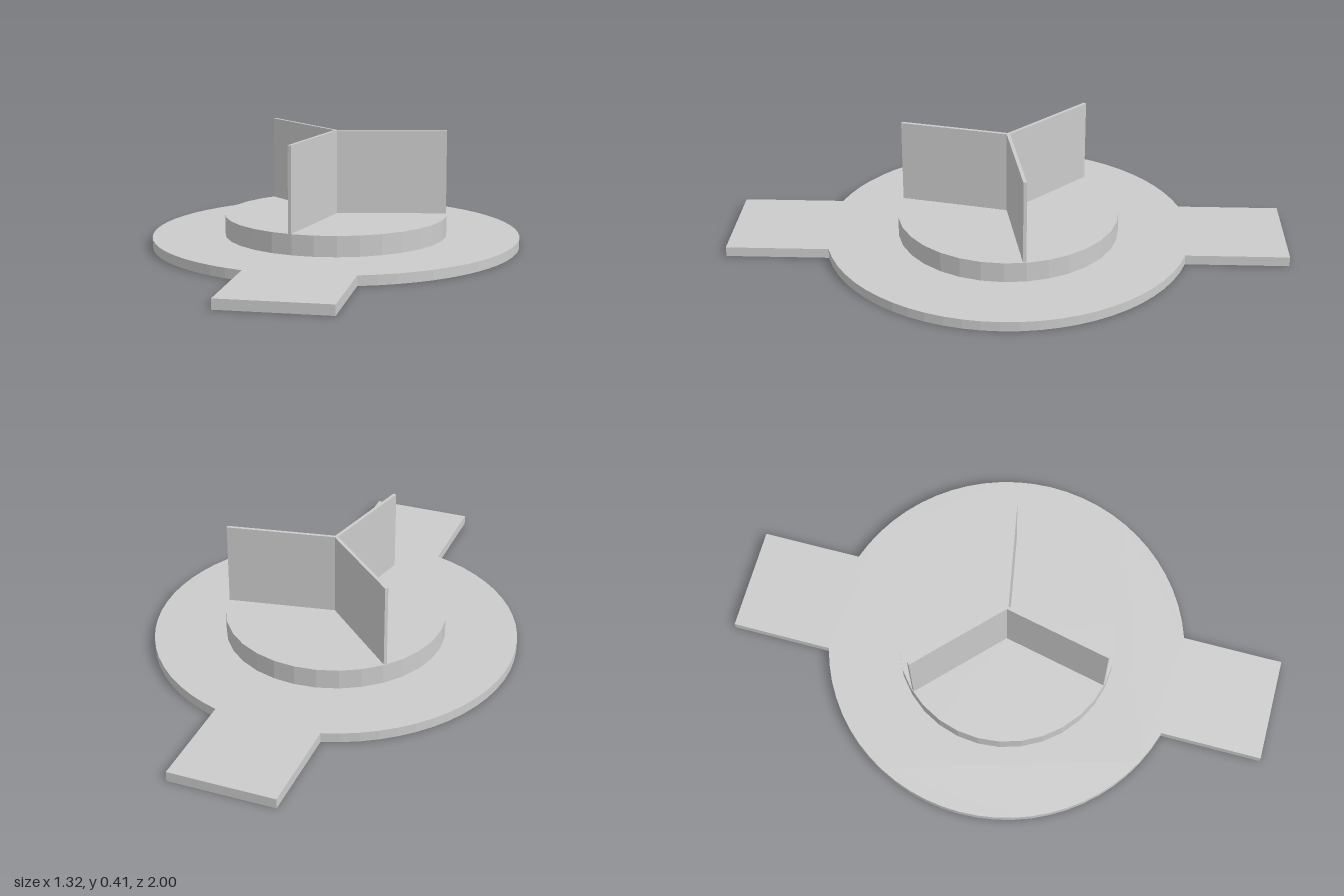
import * as THREE from 'three';

export function createModel() {
  const group = new THREE.Group();
  const material = new THREE.MeshStandardMaterial({ color: 0xcccccc, flatShading: true });
  const add = (name, geometry) => {
    const mesh = new THREE.Mesh(geometry, material);
    mesh.name = name;
    group.add(mesh);
    return mesh;
  };

  const plateHeight = 0.035, hubTop = 0.108, bladeTop = 0.41;
  const radius = 0.66, tabHalf = 0.19;

  // Base plate: a disc with a straight tab at the front and back
  const a = Math.acos(tabHalf / radius);
  const outline = new THREE.Shape();
  outline.moveTo(-tabHalf, -1);
  outline.lineTo(tabHalf, -1);
  outline.absarc(0, 0, radius, -a, a, false);
  outline.lineTo(tabHalf, 1);
  outline.lineTo(-tabHalf, 1);
  outline.absarc(0, 0, radius, Math.PI - a, Math.PI + a, false);
  outline.closePath();
  const plate = new THREE.ExtrudeGeometry(outline, {
    depth: plateHeight, bevelEnabled: false, curveSegments: 13,
  });
  plate.rotateX(-Math.PI / 2);
  add('basePlate', plate);

  // Raised round hub
  const hub = new THREE.CylinderGeometry(0.4, 0.4, hubTop - plateHeight, 32);
  hub.translate(0, (hubTop + plateHeight) / 2, 0);
  add('hub', hub);

  // Three thin upright blades meeting at the centre
  const bladeLength = 0.397, bladeHeight = bladeTop - hubTop;
  [10.3, 136.3, 257.6].forEach((degrees, i) => {
    const blade = new THREE.BoxGeometry(bladeLength, bladeHeight, 0.012);
    blade.translate(bladeLength / 2, hubTop + bladeHeight / 2, 0);
    add(`blade${i + 1}`, blade).rotation.y = THREE.MathUtils.degToRad(degrees);
  });

  return group;
}
